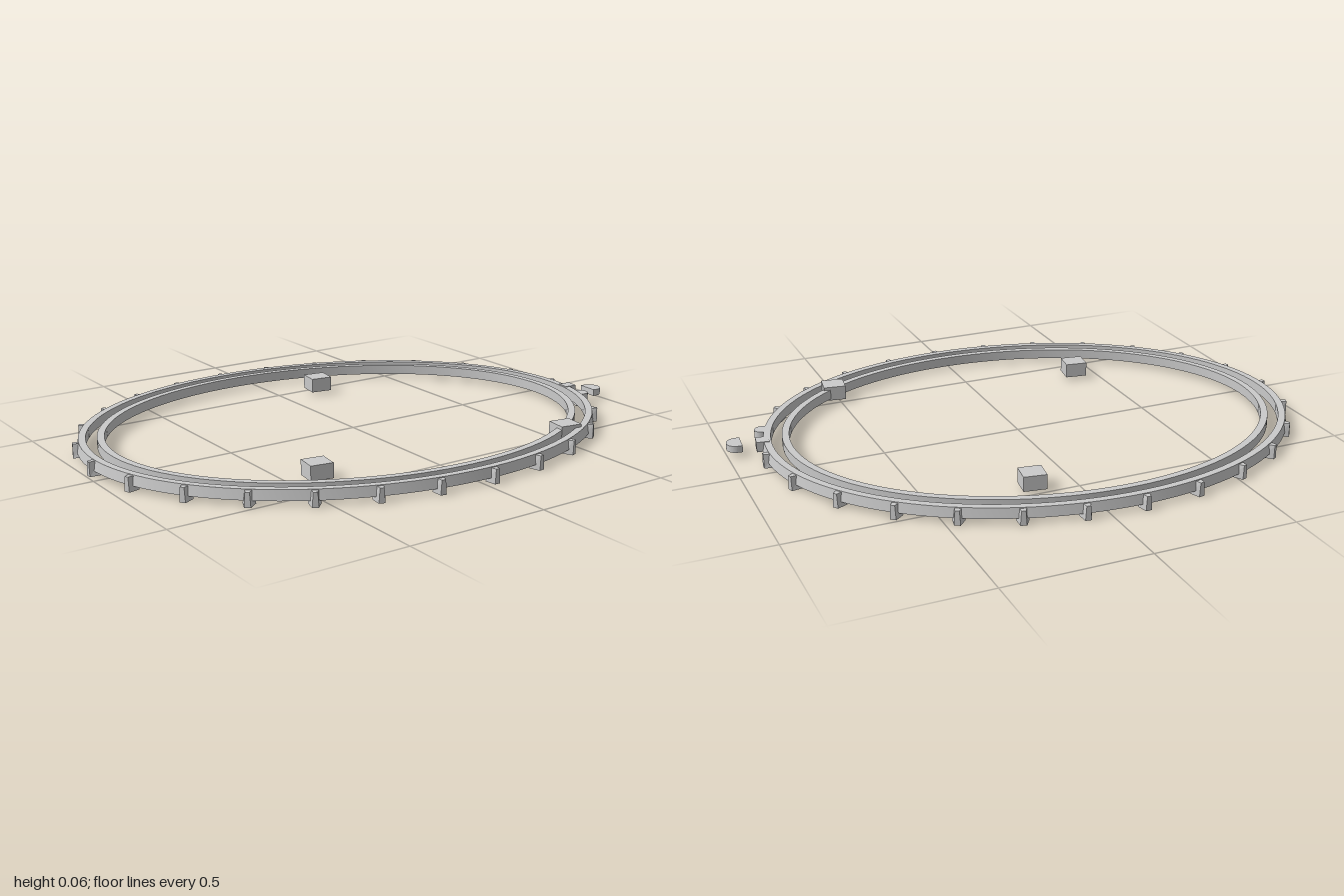
import * as THREE from 'three';

const TILT = 0.148; // turn of the oval about the vertical

export function createModel() {
  const root = new THREE.Group();
  root.name = 'ovalTrack';
  const grey = new THREE.MeshStandardMaterial({ color: 0xcacaca, side: THREE.DoubleSide });
  grey.name = 'grey';

  const add = (name, geometry, parent, x, y, z, turn = 0) => {
    const mesh = new THREE.Mesh(geometry, grey);
    mesh.name = name;
    mesh.position.set(x, y, z);
    mesh.rotation.y = turn;
    parent.add(mesh);
    return mesh;
  };

  // Two concentric oval bands, each an upturned channel open underneath
  const oval = new THREE.Group();
  oval.name = 'oval';
  oval.position.set(-0.042, 0, -0.001);
  oval.rotation.y = -TILT;
  root.add(oval);

  // Sweeps a [offset, height] profile round an ellipse, keeping its edges sharp
  const band = (a, b, profile) => {
    const segments = 120, positions = [], index = [];
    for (let k = 0; k < profile.length - 1; k++) {
      const base = positions.length / 3;
      for (let i = 0; i < segments; i++) {
        const t = (i / segments) * Math.PI * 2, next = ((i + 1) % segments) * 2;
        for (const [offset, y] of [profile[k], profile[k + 1]]) {
          positions.push((a + offset) * Math.cos(t), y, (b + offset) * Math.sin(t));
        }
        const p = base + i * 2, q = base + next;
        index.push(p, p + 1, q + 1, p, q + 1, q);
      }
    }
    const geometry = new THREE.BufferGeometry();
    geometry.setAttribute('position', new THREE.Float32BufferAttribute(positions, 3));
    geometry.setIndex(index);
    geometry.computeVertexNormals();
    return geometry;
  };
  const a = 0.934, b = 0.722;
  add('outerBand', band(a, b, [[0.006, 0.018], [0, 0.053], [-0.025, 0.053], [-0.025, 0.018]]), oval, 0, 0, 0);
  add('innerBand', band(0.871, 0.666, [[0, 0.018], [0, 0.053], [-0.025, 0.053], [-0.025, 0.018]]), oval, 0, 0, 0);

  // Tapered ribs, evenly spaced along the outer wall, reaching the ground
  const ribShape = new THREE.Shape([
    new THREE.Vector2(-0.021, 0.003), new THREE.Vector2(0.021, 0.003),
    new THREE.Vector2(0.014, 0.05), new THREE.Vector2(-0.014, 0.05),
  ]);
  const ribGeometry = new THREE.ExtrudeGeometry(ribShape, { depth: 0.034, bevelEnabled: false });
  const pos = ribGeometry.attributes.position;
  for (let i = 0; i < pos.count; i++) {
    if (pos.getZ(i) > 0.02) { // narrower outer face, running down to the ground
      pos.setX(i, pos.getX(i) * 0.5);
      if (pos.getY(i) < 0.01) pos.setY(i, 0);
    }
  }
  ribGeometry.computeVertexNormals();

  const start = -1.77, ribs = 26;
  const path = new THREE.EllipseCurve(0, 0, a, b, start, start + Math.PI * 2);
  path.getSpacedPoints(ribs).slice(0, ribs).forEach((p) => {
    const n = new THREE.Vector2(p.x / (a * a), p.y / (b * b)).normalize();
    add('rib', ribGeometry, oval, p.x - n.x * 0.014, 0, p.y - n.y * 0.014, Math.atan2(n.x, n.y));
  });

  // Hollow blocks, open underneath
  const blockGeometry = new THREE.BoxGeometry(0.08, 0.052, 0.076);
  const index = Array.from(blockGeometry.index.array);
  index.splice(18, 6); // drop the bottom face
  blockGeometry.setIndex(index);
  for (const [x, z] of [[0.151, -0.459], [-0.41, 0.392], [0.517, 0.537]]) {
    add('block', blockGeometry, root, x, 0.038, z, -TILT);
  }

  // Small latch: block on the rim, round stud beside it, loose half-round tab
  add('latchBlock', new THREE.BoxGeometry(0.045, 0.036, 0.045), root, 0.882, 0.037, 0.159, -TILT);
  add('latchStud', new THREE.CylinderGeometry(0.027, 0.027, 0.036, 16), root, 0.86, 0.033, 0.254);

  const tab = new THREE.Shape();
  tab.moveTo(0, -0.037);
  tab.lineTo(0.015, -0.037);
  tab.absellipse(0.015, 0, 0.036, 0.037, -Math.PI / 2, Math.PI / 2);
  tab.lineTo(0, 0.037);
  tab.closePath();
  const tabGeometry = new THREE.ExtrudeGeometry(tab, { depth: 0.024, bevelEnabled: false });
  add('halfRoundTab', tabGeometry.rotateX(-Math.PI / 2), root, 0.947, 0.018, 0.2, -TILT * 0.5);

  return root;
}
